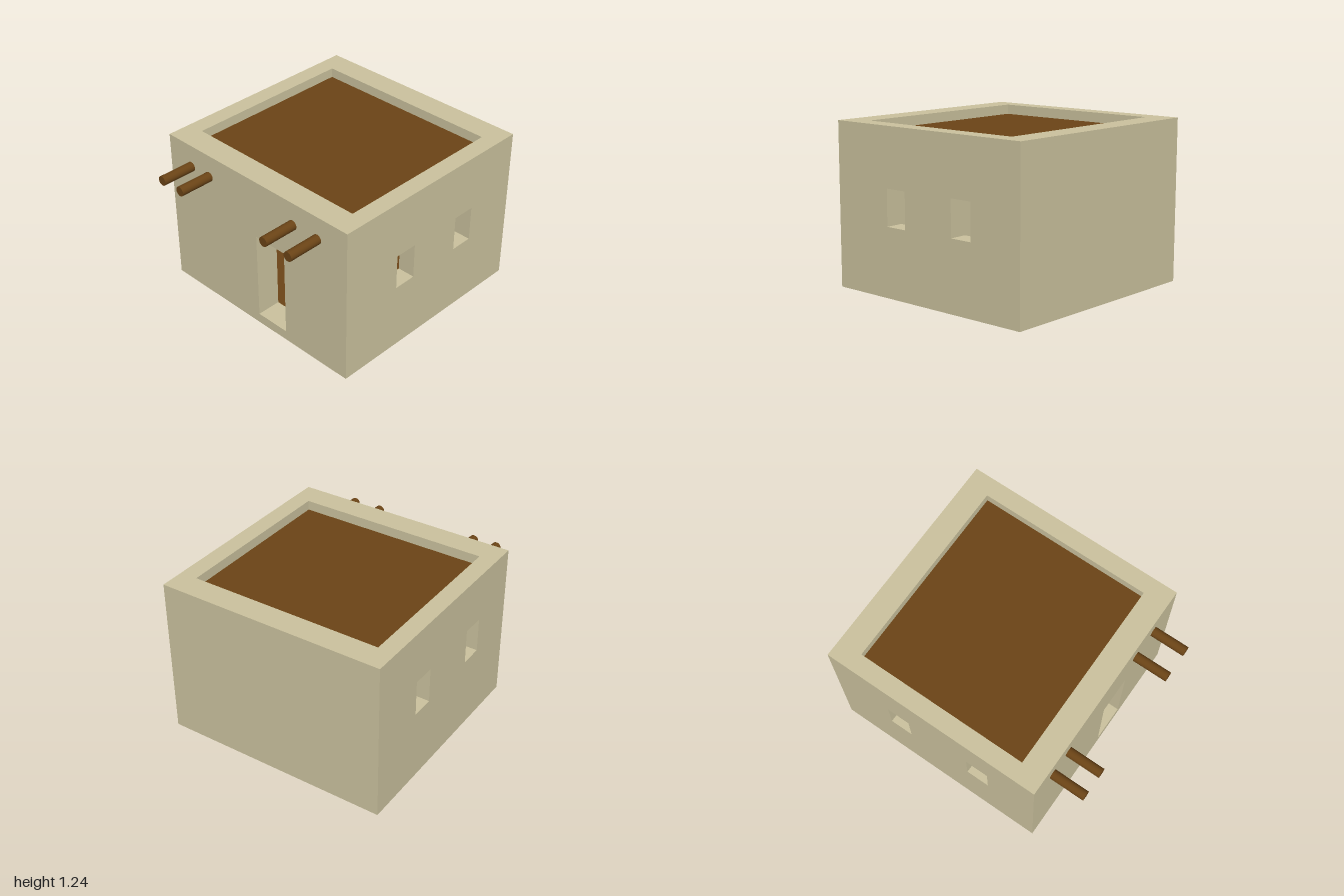
import * as THREE from 'three';

const CLAY = new THREE.MeshStandardMaterial({ color: 0xcbc29e });
const WOOD = new THREE.MeshStandardMaterial({ color: 0x6b4416 });

// outer and inner limits of the building
const X = 0.885, XI = 0.75, BACK = -1, FRONT = 0.73, BACK_IN = -0.81, FRONT_IN = 0.54, H = 1.235;
const FLOOR = 0.077, ROOF = 1.16;

export function createModel() {
  const house = new THREE.Group();
  house.name = 'flatRoofedHouse';

  const add = (name, geometry, material) => {
    const mesh = new THREE.Mesh(geometry, material);
    mesh.name = name;
    house.add(mesh);
    return mesh;
  };

  // box given by its limits on each axis
  const block = (name, material, x0, x1, y0, y1, z0, z1) =>
    add(name, new THREE.BoxGeometry(x1 - x0, y1 - y0, z1 - z0), material)
      .position.set((x0 + x1) / 2, (y0 + y1) / 2, (z0 + z1) / 2);

  const rect = (target, [u0, u1, v0, v1]) => {
    target.moveTo(u0, v0).lineTo(u1, v0).lineTo(u1, v1).lineTo(u0, v1).closePath();
    return target;
  };

  // upright slab with rectangular openings
  const wallGeometry = (u0, u1, depth, openings) => {
    const shape = rect(new THREE.Shape(), [u0, u1, 0, H]);
    for (const o of openings) shape.holes.push(rect(new THREE.Path(), o));
    return new THREE.ExtrudeGeometry(shape, { depth, bevelEnabled: false });
  };

  // front wall with doorway, and plain back wall
  add('frontWall', wallGeometry(-XI, XI, FRONT - FRONT_IN, [[0.01, 0.29, FLOOR, 0.773]]), CLAY)
    .position.z = FRONT_IN;
  block('backWall', CLAY, -XI, XI, 0, H, BACK, BACK_IN);

  // side walls with two windows each, as [z0, z1, y0, y1]
  const sideWall = (name, x, windows) => {
    const openings = windows.map(([z0, z1, y0, y1]) => [-z1, -z0, y0, y1]);
    const geometry = wallGeometry(-FRONT, -BACK, X - XI, openings).rotateY(Math.PI / 2);
    add(name, geometry, CLAY).position.x = x;
  };
  sideWall('leftWall', XI, [[0.05, 0.23, 0.52, 0.793], [-0.57, -0.39, 0.527, 0.8]]);
  sideWall('rightWall', -X, [[0.155, 0.335, 0.585, 0.855], [-0.53, -0.35, 0.56, 0.835]]);
  // closed inner face of one window niche
  block('nicheBack', CLAY, -XI - 0.008, -XI, 0.585, 0.855, 0.155, 0.335);

  // ground slab, floor and sunken roof
  block('groundSlab', CLAY, -XI, XI, 0, 0.03, BACK_IN, FRONT_IN);
  block('floor', WOOD, -XI, XI, 0.03, FLOOR, BACK_IN, FRONT_IN);
  block('roof', WOOD, -XI, XI, 1.08, ROOF, BACK_IN, FRONT_IN);

  // roof beam ends sticking out of the front wall
  for (const x of [-0.657, -0.465, 0.382, 0.613]) {
    const beam = new THREE.CylinderGeometry(0.037, 0.037, 0.4, 16).rotateX(Math.PI / 2);
    add('roofBeam', beam, WOOD).position.set(x, 1.06, 0.8);
  }

  return house;
}
